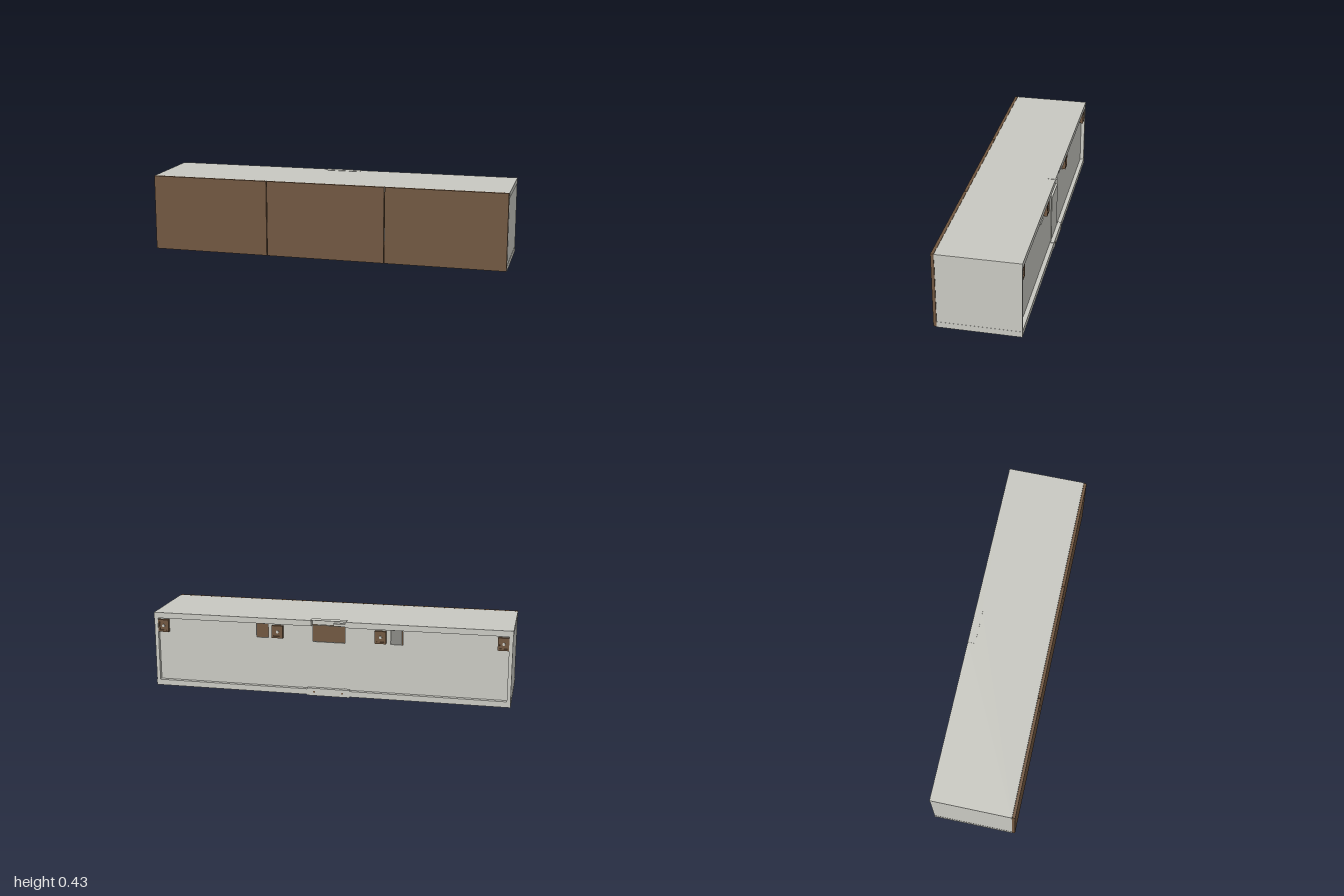
import * as THREE from 'three';

const board = new THREE.MeshStandardMaterial({ name: 'pale grey board', color: 0xc9c9c2 });
const wood = new THREE.MeshStandardMaterial({ name: 'brown wood', color: 0x70563f });

// Box given by its lower and upper corner
function box(parent, name, material, [x0, y0, z0], [x1, y1, z1]) {
  const mesh = new THREE.Mesh(new THREE.BoxGeometry(x1 - x0, y1 - y0, z1 - z0), material);
  mesh.name = name;
  mesh.position.set((x0 + x1) / 2, (y0 + y1) / 2, (z0 + z1) / 2);
  parent.add(mesh);
  return mesh;
}

function rectangle(Type, x0, y0, x1, y1) {
  const path = new Type();
  path.moveTo(x0, y0);
  path.lineTo(x1, y0);
  path.lineTo(x1, y1);
  path.lineTo(x0, y1);
  path.closePath();
  return path;
}

function extrude(parent, name, shape, depth) {
  const mesh = new THREE.Mesh(new THREE.ExtrudeGeometry(shape, { depth, bevelEnabled: false }), board);
  mesh.name = name;
  parent.add(mesh);
  return mesh;
}

// Adjustable wall hanger: body, raised rim and screw
function hanger(parent, x) {
  const group = new THREE.Group();
  group.name = 'wallHanger';
  group.position.set(x, 0.352, -0.205);
  box(group, 'hangerBody', wood, [-0.031, -0.035, -0.012], [0.031, 0.035, 0]);
  for (const s of [-1, 1]) {
    box(group, 'hangerRimSide', wood, [s * 0.026 - 0.005, -0.035, -0.019], [s * 0.026 + 0.005, 0.035, -0.012]);
    box(group, 'hangerRimEnd', wood, [-0.021, s * 0.03 - 0.005, -0.019], [0.021, s * 0.03 + 0.005, -0.012]);
  }
  const screw = new THREE.Mesh(new THREE.CylinderGeometry(0.008, 0.008, 0.005, 16), board);
  screw.name = 'hangerScrew';
  screw.rotation.x = Math.PI / 2;
  screw.position.z = -0.0145;
  group.add(screw);
  parent.add(group);
}

export function createModel() {
  const model = new THREE.Group();
  model.name = 'wallCabinet';

  // Top board with a shallow cable notch at the rear
  const top = new THREE.Shape();
  [[-1, -0.212], [1, -0.212], [1, 0.228], [0.095, 0.228], [0.095, 0.19],
    [-0.095, 0.19], [-0.095, 0.228], [-1, 0.228]].forEach(([x, y], i) => (i ? top.lineTo(x, y) : top.moveTo(x, y)));
  const topBoard = extrude(model, 'topBoard', top, 0.032);
  topBoard.rotation.x = -Math.PI / 2;
  topBoard.position.y = 0.397;

  // Bottom, sides and dividers
  box(model, 'bottomBoard', board, [-1, 0.004, -0.228], [1, 0.036, 0.212]);
  for (const s of [-1, 1]) {
    box(model, 'sideBoard', board, [s * 0.989 - 0.01, 0.036, -0.227], [s * 0.989 + 0.01, 0.397, 0.211]);
    box(model, 'divider', board, [s * 0.333 - 0.01, 0.036, -0.197], [s * 0.333 + 0.01, 0.397, 0.211]);
  }

  // Recessed back with openings beside the hangers and in the middle
  const back = rectangle(THREE.Shape, -0.979, 0.036, 0.979, 0.397);
  for (const [x0, y0, x1, y1] of [
    [-0.41, 0.312, -0.343, 0.39], [0.343, 0.312, 0.41, 0.39], [-0.09, 0.305, 0.09, 0.396],
  ]) back.holes.push(rectangle(THREE.Path, x0, y0, x1, y1));
  extrude(model, 'backPanel', back, 0.008).position.z = -0.205;
  box(model, 'centreBackStrip', board, [-0.09, 0.036, -0.208], [0.09, 0.305, -0.205]);

  // Doors
  for (const i of [-1, 0, 1]) {
    box(model, 'door', wood, [i * 0.6667 - 0.3313, 0.006, 0.213], [i * 0.6667 + 0.3313, 0.429, 0.229]);
  }

  // Hangers
  for (const x of [-0.95, -0.288, 0.288, 0.95]) hanger(model, x);

  // Cover over the upper notch, with its small catch
  box(model, 'topCover', board, [-0.1, 0.429, -0.228], [0.1, 0.431, -0.186]);
  box(model, 'topCatch', board, [-0.095, 0.402, -0.224], [-0.03, 0.415, -0.2]);

  // Folded bracket at the lower rear
  box(model, 'lowerBracketBack', board, [-0.12, 0, -0.23], [0.12, 0.042, -0.227]);
  box(model, 'lowerBracketFoot', board, [-0.12, 0, -0.227], [0.12, 0.004, -0.204]);
  box(model, 'lowerBracketLip', board, [-0.12, 0.038, -0.227], [0.12, 0.042, -0.208]);
  for (const x of [-0.08, 0.08]) {
    box(model, 'lowerBracketScrew', wood, [x - 0.005, 0.017, -0.231], [x + 0.005, 0.027, -0.23]);
  }
  return model;
}
